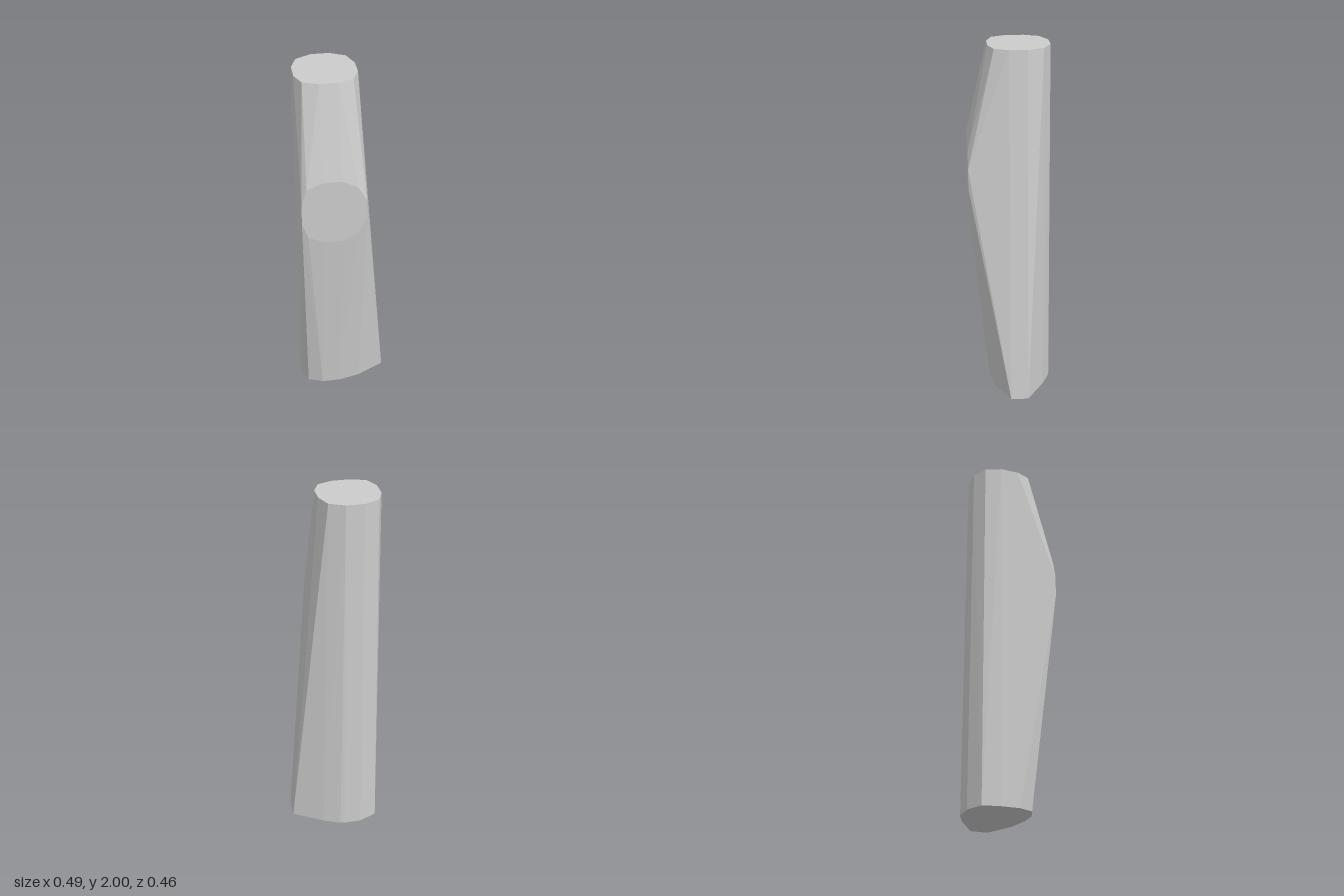
import * as THREE from 'three';
import { ConvexGeometry } from 'three/addons/geometries/ConvexGeometry.js';

export function createModel() {
  const group = new THREE.Group();

  // Top end: regular-looking twelve-sided ring [x, z] at y = 2
  const top = [
    [-0.246, -0.09], [-0.246, 0.01], [-0.213, 0.087], [-0.13, 0.117],
    [-0.032, 0.117], [0.048, 0.087], [0.083, 0.01], [0.083, -0.088],
    [0.05, -0.175], [-0.032, -0.217], [-0.13, -0.217], [-0.213, -0.175],
  ];

  // Base: wider ring [x, z] at y = 0, drawn out towards +x
  const base = [
    [-0.246, -0.09], [-0.246, 0.01], [-0.213, 0.087], [-0.13, 0.117],
    [-0.032, 0.117], [0.09, 0.09], [0.245, 0.01], [0.245, -0.088],
    [0.085, -0.187], [-0.01, -0.229], [-0.032, -0.233], [-0.13, -0.233],
    [-0.228, -0.188],
  ];

  // Flat front pad: ring [x, y] at z = 0.232
  const pad = [
    [-0.246, 1.24], [-0.246, 1.36], [-0.218, 1.455], [-0.13, 1.49],
    [-0.03, 1.49], [0.055, 1.445], [0.1, 1.355], [0.1, 1.25],
    [0.055, 1.155], [-0.03, 1.115], [-0.13, 1.115], [-0.213, 1.155],
  ];

  // The body is the convex skin stretched over the three rings
  const points = [
    ...top.map(([x, z]) => new THREE.Vector3(x, 2, z)),
    ...base.map(([x, z]) => new THREE.Vector3(x, 0, z)),
    ...pad.map(([x, y]) => new THREE.Vector3(x, y, 0.232)),
  ];
  const body = new THREE.Mesh(
    new ConvexGeometry(points),
    new THREE.MeshStandardMaterial({ color: 0xcccccc, flatShading: true })
  );
  body.name = 'facetedBody';
  group.add(body);

  return group;
}
